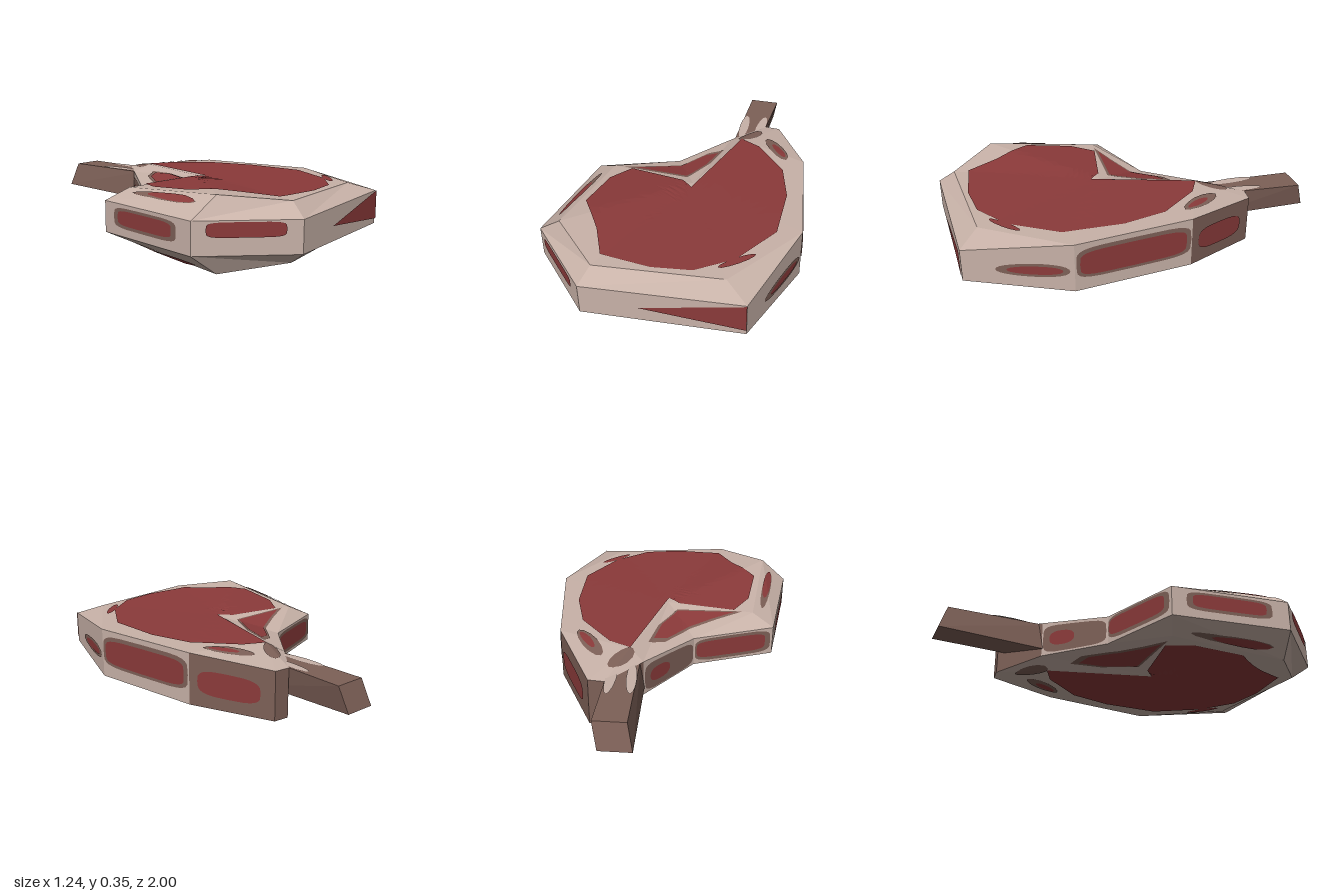
import * as THREE from 'three';

// Rim corners, anticlockwise seen from above: x, z, top y, bottom y
const RIM = [
  [-0.17, 1, 0.255, 0.1], [0.575, 0.78, 0.265, 0.095], [0.62, 0.24, 0.31, 0.05],
  [0.4, -0.34, 0.31, 0.045], [0.12, -0.67, 0.27, 0.02], [0.04, -0.66, 0.27, 0.02],
  [-0.08, -0.44, 0.27, 0.08], [-0.25, -0.12, 0.255, 0.1], [-0.62, 0.12, 0.255, 0.1],
  [-0.575, 0.73, 0.255, 0.1],
];
// Raised corners inside the rim
const INNER = {
  front: [-0.15, 0.91, 0.32, 0.04], left: [0.44, 0.71, 0.31, 0.05], back: [0, -0.4, 0.312, 0.04],
  notch: [-0.04, 0.12, 0.316, 0.04], right: [-0.5, 0.15, 0.31, 0.05], corner: [-0.44, 0.74, 0.355, 0],
};

// Bevel from each rim edge to its raised corners, then a fan from the notch
function slabFaces() {
  const { front, left, back, notch, right, corner } = INNER;
  const partner = [front, left, RIM[2], RIM[3], back, back, back, notch, right, corner];
  const faces = [];
  RIM.forEach((a, i) => {
    const j = (i + 1) % RIM.length;
    faces.push([a, RIM[j], partner[j]], [a, partner[j], partner[i]]);
  });
  const fan = [right, corner, front, left, RIM[2], RIM[3], back];
  fan.slice(1).forEach((p, i) => faces.push([notch, fan[i], p]));
  return faces.filter(f => new Set(f).size === 3);
}
const FACES = slabFaces();

// Flat-faceted geometry from a list of triangles
function facets(tris) {
  const g = new THREE.BufferGeometry();
  g.setAttribute('position', new THREE.Float32BufferAttribute(tris.flat(2), 3));
  g.computeVertexNormals();
  return g;
}

// Height of the slab's top (k = 2) or underside (k = 3) at x, z
function height(x, z, k) {
  let best = -Infinity, y = 0;
  for (const [a, b, c] of FACES) {
    const d = (b[1] - c[1]) * (a[0] - c[0]) + (c[0] - b[0]) * (a[1] - c[1]);
    const u = ((b[1] - c[1]) * (x - c[0]) + (c[0] - b[0]) * (z - c[1])) / d;
    const v = ((c[1] - a[1]) * (x - c[0]) + (a[0] - c[0]) * (z - c[1])) / d;
    const inside = Math.min(u, v, 1 - u - v);
    if (inside > best) {
      best = inside;
      y = u * a[k] + v * b[k] + (1 - u - v) * c[k];
    }
  }
  return y;
}

// Thin painted patch that follows the slab, made of rings about a centre
function drape(outline, [cx, cz], k, lift, scale = 1) {
  const pts = [], tris = [], SUB = 4, RINGS = 10;
  outline.forEach(([x, z], i) => {
    const [x2, z2] = outline[(i + 1) % outline.length];
    for (let s = 0; s < SUB; s++) pts.push([x + (x2 - x) * s / SUB, z + (z2 - z) * s / SUB]);
  });
  const at = (i, r) => {
    const [px, pz] = pts[i % pts.length], f = scale * r / RINGS;
    const x = cx + (px - cx) * f, z = cz + (pz - cz) * f;
    return [x, height(x, z, k) + (k === 2 ? lift : -lift), z];
  };
  for (let i = 0; i < pts.length; i++) {
    for (let r = 0; r < RINGS; r++) {
      tris.push([at(i, r), at(i, r + 1), at(i + 1, r + 1)]);
      if (r) tris.push([at(i, r), at(i + 1, r + 1), at(i + 1, r)]);
    }
  }
  return facets(k === 2 ? tris : tris.map(([a, b, c]) => [a, c, b]));
}

// Slim oval outline on the slab, turned by an angle
function oval([cx, cz], length, width, angle) {
  return Array.from({ length: 12 }, (_, i) => {
    const t = -i / 12 * Math.PI * 2, u = Math.cos(t) * length, v = Math.sin(t) * width;
    return [cx + u * Math.cos(angle) - v * Math.sin(angle), cz + u * Math.sin(angle) + v * Math.cos(angle)];
  });
}

// Rounded bar, in coordinates running 0..1 along and up a wall
function bar(u0, u1, v0, v1, power) {
  const round = n => Math.sign(n) * Math.abs(n) ** power / 2;
  return Array.from({ length: 24 }, (_, i) => {
    const t = i / 24 * Math.PI * 2;
    return [(u0 + u1) / 2 + (u1 - u0) * round(Math.cos(t)), (v0 + v1) / 2 + (v1 - v0) * round(Math.sin(t))];
  });
}

// Thin painted patch on side wall w
function wallPatch(w, outline, lift) {
  const a = RIM[w], b = RIM[(w + 1) % RIM.length];
  const len = Math.hypot(b[0] - a[0], b[1] - a[1]);
  const nx = -(b[1] - a[1]) / len * lift, nz = (b[0] - a[0]) / len * lift;
  const at = ([u, v]) => {
    const [x, z, hi, lo] = a.map((n, i) => n + (b[i] - n) * u);
    return [x + nx, lo + (hi - lo) * v, z + nz];
  };
  return facets(outline.slice(2).map((p, i) => [outline[0], outline[i + 1], p].map(at)));
}

export function createModel() {
  const group = new THREE.Group();
  group.name = 'steak';
  const mat = (name, color) => {
    const m = new THREE.MeshStandardMaterial({ color, side: THREE.DoubleSide });
    m.name = name;
    return m;
  };
  const fat = mat('fat', 0xc8b2a8), red = mat('red meat', 0x8b3a3a), brown = mat('bone brown', 0x7d6057);
  const add = (name, geometry, material) => {
    const m = new THREE.Mesh(geometry, material);
    m.name = name;
    group.add(m);
  };

  // Slab: top, underside and walls
  const top = p => [p[0], p[2], p[1]], low = p => [p[0], p[3], p[1]];
  add('slabTop', facets(FACES.map(f => f.map(top))), fat);
  add('slabUnderside', facets(FACES.map(([a, b, c]) => [a, c, b].map(low))), fat);
  RIM.forEach((a, i) => {
    const b = RIM[(i + 1) % RIM.length];
    add('wall', facets([[low(a), low(b), top(b)], [low(a), top(b), top(a)]]), i >= 3 && i <= 5 ? brown : fat);
  });

  // Meat on both faces, in two lobes either side of the fat seam
  const mainMeat = [[-0.15, 0.83], [0.1, 0.8], [0.28, 0.73], [0.42, 0.57], [0.51, 0.3], [0.44, 0],
    [0.33, -0.21], [0.12, -0.37], [0, -0.4], [-0.03, 0.16], [-0.1, 0.12], [-0.4, 0.14],
    [-0.45, 0.28], [-0.43, 0.53], [-0.26, 0.69]];
  const notchMeat = [[-0.4, 0.12], [-0.11, 0.06], [-0.07, -0.1], [-0.07, -0.24], [-0.13, -0.2],
    [-0.2, -0.05], [-0.3, 0.04]];
  // Streaks: material, centre, half length, half width, angle
  const streaks = [
    [brown, [-0.517, 0.45], 0.22, 0.022, 1.49], [red, [-0.512, 0.5], 0.16, 0.02, 1.49],
    [red, [0.43, 0.58], 0.1, 0.02, -0.95], [brown, [0.215, -0.4], 0.13, 0.04, 0.76],
    [red, [0.235, -0.385], 0.08, 0.02, 0.76], [brown, [0.02, -0.48], 0.09, 0.04, -1.2],
  ];
  for (const k of [2, 3]) {
    add('mainMeat', drape(mainMeat, [0.1, 0.38], k, 0.005), red);
    add('notchFringe', drape(notchMeat, [-0.15, 0], k, 0.003, 1.18), brown);
    add('notchMeat', drape(notchMeat, [-0.15, 0], k, 0.006), red);
    for (const [material, centre, ...size] of streaks)
      add('streak', drape(oval(centre, ...size), centre, k, material === red ? 0.006 : 0.004), material);
  }

  // Painted bars on the walls: wall, material, from, to, bottom, top, roundness
  const bars = [
    [1, brown, 0.3, 0.96, 0.28, 0.6, 0.9], [1, red, 0.4, 0.9, 0.34, 0.54, 0.9],
    [2, brown, 0.01, 0.99, 0.24, 0.9, 0.4], [2, red, 0.04, 0.95, 0.3, 0.82, 0.4],
    [3, red, 0.1, 0.84, 0.25, 0.74, 0.6],
    [6, brown, 0.02, 0.98, 0.05, 0.9, 0.4], [6, red, 0.12, 0.5, 0.25, 0.7, 0.8],
    [7, brown, 0.01, 0.97, 0.1, 0.95, 0.4], [7, red, 0.03, 0.9, 0.22, 0.85, 0.4],
    [8, brown, 0.12, 0.85, 0.25, 0.9, 0.4], [8, red, 0.17, 0.8, 0.35, 0.82, 0.4],
    [9, red, 0.13, 0.85, 0.52, 0.96, 0.4],
  ];
  for (const [w, material, ...size] of bars)
    add('wallStreak', wallPatch(w, bar(...size), material === red ? 0.005 : 0.003), material);
  // Wedge that widens towards the front left corner
  add('wallWedge', wallPatch(0, [[0.36, 0.47], [0.88, 0.32], [1, 0.15], [1, 1], [0.93, 0.66], [0.86, 0.59]], 0.005), red);

  // Bone: box whose corners are moved to a leaning, tapered bar
  const bone = new THREE.BoxGeometry(1, 1, 1).toNonIndexed();
  const pos = bone.attributes.position;
  for (let i = 0; i < pos.count; i++) {
    const right = pos.getX(i) < 0, high = pos.getY(i) > 0;
    if (pos.getZ(i) < 0) // free end, undercut below
      pos.setXYZ(i, (right ? -0.17 : -0.015) - (high ? 0 : 0.035), high ? 0.27 : 0.14,
        (right ? -0.93 : -0.965) - (high ? 0 : 0.035));
    else // end buried in the slab
      pos.setXYZ(i, (right ? -0.06 : 0.075) - (high ? 0 : 0.02), high ? 0.27 : 0.12, right ? -0.42 : -0.46);
  }
  bone.computeVertexNormals();
  add('bone', bone, brown);

  // Fat tongues running out along the bone
  for (const [x, z, angle] of [[-0.075, -0.6, 1.3], [0.018, -0.63, 1.4]]) {
    const tongue = oval([x, z], 0.13, 0.026, angle).map(([px, pz]) => [px, 0.274, pz]);
    add('boneFat', facets(tongue.slice(2).map((p, i) => [tongue[0], tongue[i + 1], p])), fat);
  }
  return group;
}
